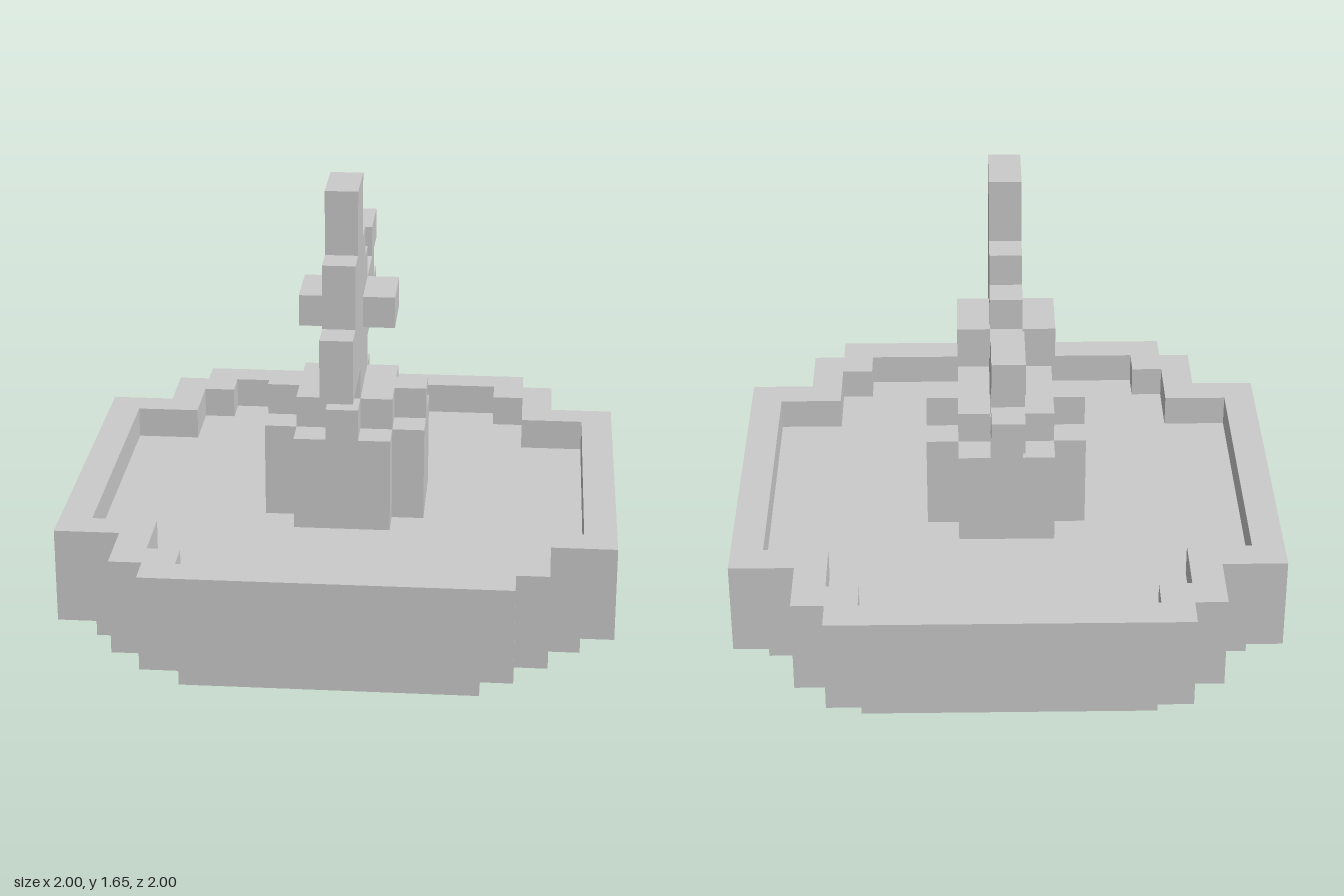
import * as THREE from 'three';

const U = 2 / 17; // edge of one block
const material = new THREE.MeshStandardMaterial({ color: 0xcccccc, flatShading: true });

// Closed stepped outline, mirrored in four quadrants from [halfWidth, halfDepth] steps
function steppedPoints(steps) {
  const quarter = [];
  steps.forEach(([x, z], i) => {
    if (i) quarter.push([x, steps[i - 1][1]]);
    quarter.push([x, z]);
  });
  const back = [...quarter].reverse();
  return [
    ...quarter,
    ...back.map(([x, z]) => [-x, z]),
    ...quarter.map(([x, z]) => [-x, -z]),
    ...back.map(([x, z]) => [x, -z]),
  ].map(([x, z]) => new THREE.Vector2(x * U, z * U));
}

function addMesh(parent, name, geometry) {
  const mesh = new THREE.Mesh(geometry, material);
  mesh.name = name;
  parent.add(mesh);
  return mesh;
}

// Horizontal slab between two block heights, optionally with a stepped opening
function addSlab(parent, name, steps, y0, y1, opening) {
  const shape = new THREE.Shape(steppedPoints(steps));
  if (opening) shape.holes.push(new THREE.Path(steppedPoints(opening)));
  const geometry = new THREE.ExtrudeGeometry(shape, { depth: (y1 - y0) * U, bevelEnabled: false });
  geometry.rotateX(-Math.PI / 2);
  return addMesh(parent, name, geometry.translate(0, y0 * U, 0));
}

export function createModel() {
  const model = new THREE.Group();
  model.name = 'fishFountain';

  // Basin: recessed foot, solid bowl and raised rim
  const inner = [[7.5, 4.5], [5.5, 6.5], [4.5, 7.5]];
  const outer = [[8.5, 5.5], [6.5, 7.5], [5.5, 8.5]];
  const basin = new THREE.Group();
  basin.name = 'basin';
  addSlab(basin, 'foot', inner, 0, 1);
  addSlab(basin, 'bowl', outer, 1, 3);
  addSlab(basin, 'rim', outer, 3, 4, inner);
  model.add(basin);

  // Pedestal with a smaller stepped cap
  const pedestal = new THREE.Group();
  pedestal.name = 'pedestal';
  addSlab(pedestal, 'pedestalBody', [[2.5, 1.5], [1.5, 2.5]], 3, 6);
  addSlab(pedestal, 'pedestalCap', [[2.5, 0.5], [1.5, 1.5], [0.5, 2.5]], 6, 7);
  model.add(pedestal);

  // Fish: one side profile (z, y) in blocks, one block thick
  const fish = new THREE.Group();
  fish.name = 'fish';
  const profile = [
    [-1.5, 7], [1.5, 7], [1.5, 8], [4.5, 8], [4.5, 10], [3.5, 10], [3.5, 12],
    [2.5, 12], [2.5, 14], [0.5, 14], [0.5, 12], [-0.5, 12], [-0.5, 11], [-1.5, 11],
    [-1.5, 10], [-3.5, 10], [-3.5, 11], [-5.5, 11], [-5.5, 10], [-4.5, 10], [-4.5, 9],
    [-5.5, 9], [-5.5, 8], [-3.5, 8], [-3.5, 9], [-2.5, 9], [-2.5, 8], [-1.5, 8],
  ];
  const side = new THREE.Shape(profile.map(([z, y]) => new THREE.Vector2(z * U, y * U)));
  const body = new THREE.ExtrudeGeometry(side, { depth: U, bevelEnabled: false });
  body.translate(0, 0, -U / 2).rotateY(-Math.PI / 2);
  addMesh(fish, 'fishBody', body);

  // Side fins
  for (const [name, s] of [['leftFin', 1], ['rightFin', -1]]) {
    const fin = addMesh(fish, name, new THREE.BoxGeometry(U, U, 2 * U));
    fin.position.set(s * U, 9.5 * U, -0.5 * U);
  }
  model.add(fish);

  return model;
}
